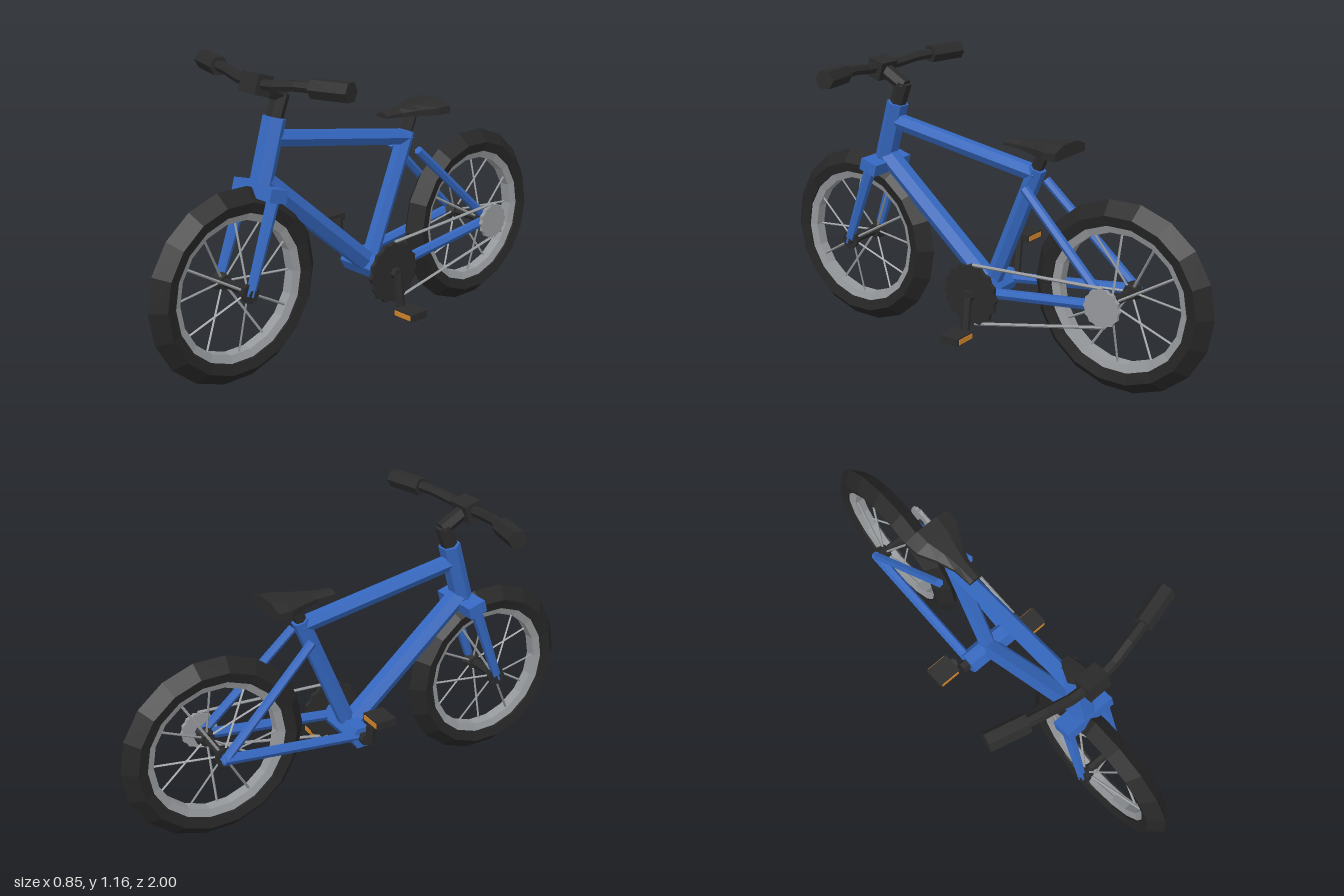
import * as THREE from 'three';

const mat = (name, color) => {
  const m = new THREE.MeshStandardMaterial({ color });
  m.name = name;
  return m;
};

export function createModel() {
  const blue = mat('frame blue', 0x3568c0);
  const black = mat('component black', 0x2b2b2b);
  const rubber = mat('tyre black', 0x262626);
  const silver = mat('rim silver', 0x96999c);
  const orange = mat('reflector orange', 0xd0842a);
  const bike = new THREE.Group();
  bike.name = 'bicycle';
  const V = (x, y, z) => new THREE.Vector3(x, y, z);

  // Adds a flat-faceted mesh
  function add(name, geo, material, parent = bike) {
    const g = geo.index ? geo.toNonIndexed() : geo;
    g.computeVertexNormals();
    const m = new THREE.Mesh(g, material);
    m.name = name;
    parent.add(m);
    return m;
  }

  // Faceted tube between two points; depth squashes it across its local z
  function bar(name, a, b, r, material, { r2 = r, sides = 6, depth = 1, parent = bike } = {}) {
    const d = b.clone().sub(a), len = d.length();
    d.normalize();
    const x = Math.abs(d.x) > 0.8 ? V(0, 0, 1) : V(1, 0, 0);
    x.addScaledVector(d, -x.dot(d)).normalize();
    const z = x.clone().cross(d);
    const g = new THREE.CylinderGeometry(r2, r, len, sides, 1, false, Math.PI / 2);
    g.scale(1, 1, depth);
    g.applyMatrix4(new THREE.Matrix4().makeBasis(x, d, z));
    const m = add(name, g, material, parent);
    m.position.copy(a).add(b).multiplyScalar(0.5);
    return m;
  }

  function box(name, w, h, d, x, y, z, material, tilt = 0) {
    const m = add(name, new THREE.BoxGeometry(w, h, d), material);
    m.position.set(x, y, z);
    m.rotation.x = tilt;
    return m;
  }

  // Ring with the given (radius, side) profile, turned about the x axis
  function ring(name, profile, material, parent) {
    const pts = [...profile, profile[0]].map(p => new THREE.Vector2(...p));
    add(name, new THREE.LatheGeometry(pts, 18).rotateZ(Math.PI / 2), material, parent);
  }

  // Toothed disc facing sideways
  function sprocket(name, r, teeth, x, y, z, material) {
    const s = new THREE.Shape();
    for (let i = 0; i < teeth * 2; i++) {
      const a = (i * Math.PI) / teeth, q = i % 2 ? r * 0.92 : r;
      s[i ? 'lineTo' : 'moveTo'](q * Math.cos(a), q * Math.sin(a));
    }
    const g = new THREE.ExtrudeGeometry(s, { depth: 0.016, bevelEnabled: false });
    add(name, g.translate(0, 0, -0.008).rotateY(Math.PI / 2), material).position.set(x, y, z);
  }

  // Wheels: tyre, rim, hub and alternating spokes
  for (const [name, z] of [['frontWheel', 0.625], ['rearWheel', -0.625]]) {
    const w = new THREE.Group();
    w.name = name;
    w.position.set(0, 0.375, z);
    bike.add(w);
    ring('tyre', [[0.285, -0.04], [0.325, -0.05], [0.375, 0], [0.325, 0.05], [0.285, 0.04]], rubber, w);
    ring('rim', [[0.255, -0.022], [0.292, -0.034], [0.292, 0.034], [0.255, 0.022]], silver, w);
    bar('axle', V(-0.11, 0, 0), V(0.11, 0, 0), 0.018, black, { parent: w });
    for (const s of [-1, 1])
      bar('hubFlange', V(s * 0.055, 0, 0), V(s * 0.095, 0, 0), 0.028, black, { r2: 0.04, sides: 8, parent: w });
    for (let i = 0; i < 12; i++) {
      const a = (i * Math.PI) / 6, c = Math.cos(a), s = Math.sin(a), side = i % 2 ? 1 : -1;
      bar('spoke', V(side * 0.07, 0.02 * s, 0.02 * c), V(side * 0.008, 0.265 * s, 0.265 * c), 0.005, silver,
        { sides: 4, parent: w });
    }
  }

  // Main frame
  bar('headTube', V(0, 0.7, 0.505), V(0, 0.975, 0.425), 0.049, blue, { depth: 0.85 });
  bar('topTube', V(0, 0.9, 0.44), V(0, 0.785, -0.25), 0.034, blue);
  bar('downTube', V(0, 0.745, 0.48), V(0, 0.315, -0.02), 0.043, blue);
  bar('seatTube', V(0, 0.3, -0.04), V(0, 0.81, -0.25), 0.035, blue);
  bar('bottomBracket', V(-0.115, 0.295, -0.042), V(0.115, 0.295, -0.042), 0.05, blue);

  // Fork and rear stays
  box('forkCrown', 0.22, 0.05, 0.08, 0, 0.715, 0.5, blue, -0.28);
  for (const s of [-1, 1]) {
    bar('forkLeg', V(s * 0.086, 0.715, 0.502), V(s * 0.095, 0.365, 0.63), 0.025, blue, { r2: 0.018 });
    bar('chainStay', V(s * 0.1, 0.3, -0.05), V(s * 0.108, 0.378, -0.64), 0.021, blue);
    bar('seatStay', V(s * 0.075, 0.745, -0.24), V(s * 0.11, 0.37, -0.64), 0.018, blue);
  }

  // Stem and handlebar
  bar('steerer', V(0, 0.96, 0.43), V(0, 1.06, 0.392), 0.033, black);
  bar('stem', V(0, 1.045, 0.385), V(0, 1.108, 0.5), 0.03, black);
  box('stemClamp', 0.095, 0.075, 0.07, 0, 1.108, 0.505, black, -0.3);
  for (const s of [-1, 1]) {
    const path = [V(0, 1.11, 0.51), V(s * 0.1, 1.115, 0.503), V(s * 0.19, 1.127, 0.485), V(s * 0.28, 1.13, 0.465)];
    for (let i = 0; i < 3; i++) bar('handlebar', path[i], path[i + 1], 0.021, black);
    bar('grip', V(s * 0.265, 1.128, 0.468), V(s * 0.415, 1.131, 0.43), 0.038, black);
  }

  // Seat post and saddle, lofted through sections [z, half width, bottom, edge, top]
  bar('seatPost', V(0, 0.79, -0.24), V(0, 0.89, -0.282), 0.025, black);
  const sections = [
    [-0.11, 0.028, 0.885, 0.895, 0.905], [-0.19, 0.034, 0.88, 0.896, 0.912],
    [-0.26, 0.06, 0.877, 0.9, 0.918], [-0.33, 0.098, 0.876, 0.905, 0.924], [-0.39, 0.104, 0.876, 0.907, 0.928],
  ];
  const pos = [], idx = [];
  for (const [z, w, b, e, t] of sections)
    for (const [x, y] of [[-1, b], [1, b], [1, e], [0.45, t], [-0.45, t], [-1, e]]) pos.push(x * w, y, z);
  for (let i = 0; i < sections.length - 1; i++)
    for (let j = 0; j < 6; j++) {
      const a = i * 6 + j, b = i * 6 + ((j + 1) % 6);
      idx.push(a, a + 6, b, b, a + 6, b + 6);
    }
  const last = (sections.length - 1) * 6;
  for (let j = 1; j < 5; j++) idx.push(0, j, j + 1, last, last + j + 1, last + j);
  const saddle = new THREE.BufferGeometry();
  saddle.setAttribute('position', new THREE.Float32BufferAttribute(pos, 3));
  saddle.setIndex(idx);
  add('saddle', saddle, black);

  // Cranks and pedals, one up and one down
  bar('crankAxle', V(-0.145, 0.297, -0.042), V(0.172, 0.297, -0.042), 0.024, black);
  for (const s of [-1, 1]) {
    const y = s < 0 ? 0.44 : 0.155;
    bar('crankArm', V(s * 0.167, 0.297, -0.042), V(s * 0.184, y, -0.042), 0.016, black, { depth: 1.3 });
    box('pedal', 0.1, 0.03, 0.085, s * 0.238, y, -0.042, black);
    for (const f of [-1, 1])
      box('pedalReflector', 0.084, 0.02, 0.004, s * 0.238, y, -0.042 + f * 0.0435, orange);
  }

  // Drivetrain
  sprocket('chainring', 0.125, 16, 0.142, 0.3, -0.04, black);
  sprocket('rearCog', 0.075, 14, 0.142, 0.38, -0.625, silver);
  bar('cogAxle', V(0.1, 0.378, -0.625), V(0.142, 0.378, -0.625), 0.02, black);
  bar('chainTop', V(0.142, 0.422, -0.05), V(0.142, 0.455, -0.625), 0.007, silver, { sides: 4 });
  bar('chainBottom', V(0.142, 0.18, -0.06), V(0.142, 0.308, -0.64), 0.007, silver, { sides: 4 });
  return bike;
}
